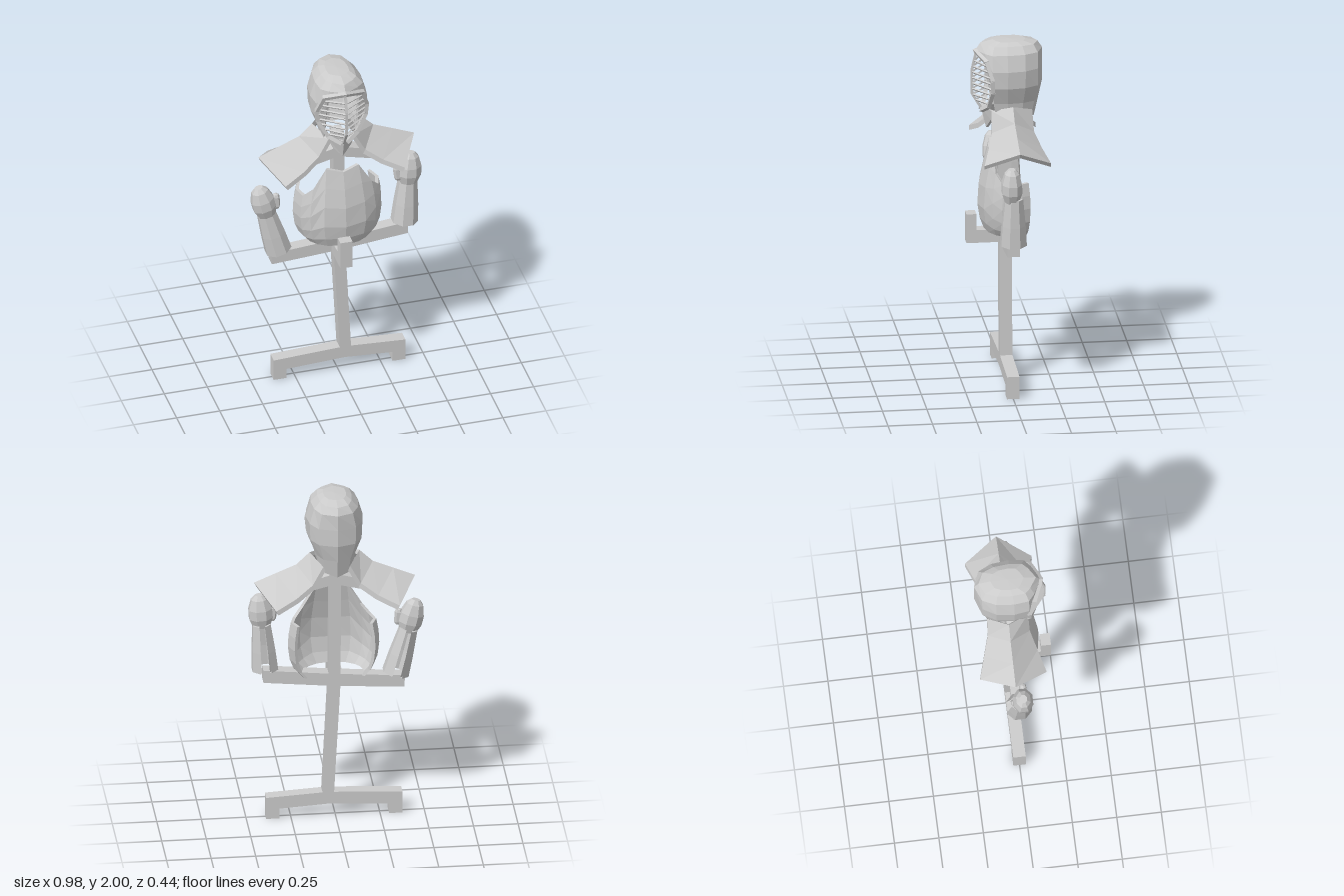
import * as THREE from 'three';

const mat = new THREE.MeshStandardMaterial({ color: 0xcccccc, flatShading: true, side: THREE.DoubleSide });

function add(parent, name, geo) {
  const m = new THREE.Mesh(geo, mat);
  m.name = name;
  parent.add(m);
  return m;
}

// linear lookup in rows [key, a, b, ...] sorted by rising key
function lookup(rows, k) {
  if (k <= rows[0][0]) return rows[0].slice(1);
  for (let i = 1; i < rows.length; i++) {
    const p = rows[i - 1], q = rows[i];
    if (k <= q[0]) return p.slice(1).map((v, j) => v + (q[j + 1] - v) * (k - p[0]) / (q[0] - p[0]));
  }
  return rows[rows.length - 1].slice(1);
}

// thick sheet: outer and inner grids of nu x nv points joined along the rim
function shell(outer, inner, nu, nv) {
  const pos = [], idx = [], n = nu * nv;
  for (const f of [outer, inner])
    for (let i = 0; i < nu; i++) for (let j = 0; j < nv; j++) pos.push(...f(i, j));
  const quad = (a, b, c, d) => idx.push(a, b, c, a, c, d);
  for (let i = 0; i < nu - 1; i++) for (let j = 0; j < nv - 1; j++) {
    const a = i * nv + j;
    quad(a, a + 1, a + nv + 1, a + nv);
    quad(n + a, n + a + nv, n + a + nv + 1, n + a + 1);
  }
  const rim = (a, b) => quad(a, b, b + n, a + n);
  for (let i = 0; i < nu - 1; i++) {
    rim((i + 1) * nv, i * nv);
    rim(i * nv + nv - 1, (i + 1) * nv + nv - 1);
  }
  for (let j = 0; j < nv - 1; j++) {
    rim(j, j + 1);
    rim((nu - 1) * nv + j + 1, (nu - 1) * nv + j);
  }
  const g = new THREE.BufferGeometry();
  g.setAttribute('position', new THREE.Float32BufferAttribute(pos, 3));
  g.setIndex(idx);
  g.computeVertexNormals();
  return g;
}

// board cut from an outline in the xy plane, with thickness along z
function board(points, z0 = -0.035, z1 = 0.035) {
  const s = new THREE.Shape(points.map(p => new THREE.Vector2(...p)));
  return new THREE.ExtrudeGeometry(s, { depth: z1 - z0, bevelEnabled: false }).translate(0, 0, z0);
}

// square rod from a to b
function rod(parent, name, a, b, w) {
  const p = new THREE.Vector3(...a), q = new THREE.Vector3(...b);
  const m = add(parent, name, new THREE.BoxGeometry(w, p.distanceTo(q) + w * 0.5, w));
  m.position.copy(p).add(q).multiplyScalar(0.5);
  m.quaternion.setFromUnitVectors(new THREE.Vector3(0, 1, 0), q.sub(p).normalize());
}

function buildStand() {
  const g = new THREE.Group();
  g.name = 'stand';
  add(g, 'foot', board([[-0.375, 0], [-0.3, 0], [-0.3, 0.06], [0.04, 0.077], [0.315, 0.06], [0.315, 0],
    [0.39, 0], [0.39, 0.13], [0.04, 0.15], [-0.375, 0.13]]));
  add(g, 'post', board([[0.01, 0.12], [0.075, 0.12], [0.04, 0.83], [0.033, 1.6], [-0.03, 1.6], [-0.028, 0.83]]));
  add(g, 'lowerCrossbar', board([[-0.385, 0.78], [0.01, 0.805], [0.405, 0.845], [0.405, 0.92], [0.01, 0.88], [-0.39, 0.85]]));
  add(g, 'upperCrossbar', board([[-0.26, 1.37], [0, 1.435], [0.28, 1.365], [0.28, 1.425], [0, 1.5], [-0.26, 1.43]]));
  const hook = board([[0.03, 0.805], [0.218, 0.805], [0.218, 0.975], [0.162, 0.975], [0.162, 0.88], [0.03, 0.88]], -0.03, 0.04);
  add(g, 'frontHook', hook.rotateY(-Math.PI / 2));
  return g;
}

function buildBreastplate() {
  // height, half width, front z
  const size = [[0.89, 0.19, 0.12], [0.94, 0.235, 0.14], [1.03, 0.258, 0.155], [1.13, 0.255, 0.152],
    [1.24, 0.235, 0.13], [1.39, 0.2, 0.09]];
  // angle from the front, top edge
  const top = [[0, 1.365], [28, 1.388], [50, 1.25], [66, 1.21], [118, 1.215]];
  const angles = [-118, -92, -66, -48, -28, 0, 28, 48, 66, 92, 118];
  const steps = [0, 0.12, 0.3, 0.55, 0.78, 1];
  const at = t => (i, j) => {
    const [h] = lookup(top, Math.abs(angles[i]));
    const y = 0.89 + (h - 0.89) * steps[j], a = angles[i] * Math.PI / 180;
    const [w, f] = lookup(size, y);
    return [0.012 + (w - t) * Math.sin(a), y, -0.03 + (f + 0.03 - t) * Math.cos(a)];
  };
  return shell(at(0), at(0.018), angles.length, steps.length);
}

function buildHelmet() {
  const g = new THREE.Group();
  g.name = 'helmet';
  // dome: columns hold x, z and lower edge; rows hold height and x, z scale
  const half = [[0, 0.165, 1.93], [0.1, 0.12, 1.9], [0.148, 0.085, 1.6], [0.16, 0, 1.61],
    [0.148, -0.1, 1.6], [0.105, -0.175, 1.56], [0, -0.21, 1.54]];
  const cols = [...half, ...half.slice(0, 6).reverse().map(([x, z, b]) => [-x, z, b])];
  const scale = [[1.54, 0.6, 0.75], [1.65, 0.72, 0.88], [1.75, 0.97, 1], [1.85, 1, 1], [1.94, 0.83, 1],
    [1.98, 0.6, 0.86], [1.997, 0.4, 0.5], [2, 0, 0]];
  const rows = [2, 1.997, 1.98, 1.94, 1.85, 1.75, 1.65, 1.54];
  const outer = (i, j) => {
    const [x, z, b] = cols[i], y = Math.max(rows[j], b);
    const [sx, sz] = lookup(scale, y);
    return [0.005 + x * sx, y, -0.025 + (z + 0.025) * sz];
  };
  const inner = (i, j) => {
    const [x, y, z] = outer(i, j);
    return [x * 0.9, 1.7 + (y - 1.7) * 0.94, -0.025 + (z + 0.025) * 0.9];
  };
  add(g, 'dome', shell(outer, inner, cols.length, rows.length));

  // face grille: rim, centre bar and cross bars
  const rim = [[1.59, 0.02, 0.13], [1.63, 0.085, 0.1], [1.73, 0.138, 0.083], [1.8, 0.145, 0.085],
    [1.9, 0.112, 0.115], [1.935, 0, 0.165]];
  const centre = [[1.59, 0.13], [1.68, 0.183], [1.82, 0.185], [1.93, 0.16]];
  for (const s of [-1, 1]) {
    for (let i = 1; i < rim.length; i++) {
      const [p, q] = [rim[i - 1], rim[i]];
      rod(g, 'grilleRim', [0.005 + s * p[1], p[0], p[2]], [0.005 + s * q[1], q[0], q[2]], 0.022);
    }
    for (let k = 0; k < 8; k++) {
      const y = 1.645 + k * 0.033, [x, z] = lookup(rim, y);
      rod(g, 'grilleBar', [0.005 + s * x, y, z], [0.005, y, lookup(centre, y)[0]], 0.009);
    }
  }
  for (let i = 1; i < centre.length; i++)
    rod(g, 'grilleCentreBar', [0.005, ...centre[i - 1]], [0.005, ...centre[i]], 0.014);

  // folded throat guard below the grille
  const throat = [[[-0.075, 1.6, 0.08], [-0.05, 1.54, 0.085]], [[0.005, 1.6, 0.135], [0.005, 1.48, 0.105]],
    [[0.085, 1.6, 0.08], [0.06, 1.54, 0.085]]];
  add(g, 'throatGuard', shell((i, j) => throat[i][j],
    (i, j) => throat[i][j].map((v, k) => (k === 2 ? v - 0.015 : v)), 3, 2));
  return g;
}

// shoulder flap: stations of ridge x, ridge y, edge x, edge y, edge half depth
function buildFlap(s) {
  const st = [[0.14, 1.64, 0.075, 1.6, 0.115], [0.215, 1.568, 0.135, 1.49, 0.118],
    [0.33, 1.52, 0.23, 1.425, 0.15], [0.452, 1.468, 0.347, 1.372, 0.187]];
  const at = t => (i, j) => {
    const [rx, ry, ex, ey, d] = st[i];
    const x = (j === 1 ? rx : ex) - t * 0.5, y = (j === 1 ? ry : ey) - t;
    return [0.006 + s * x, y, -0.03 + (1 - j) * d];
  };
  return shell(at(0), at(0.025), 4, 3);
}

// mitten glove standing on its open cuff; s is the side of the body
function buildGlove(s, x, y, tilt) {
  const g = new THREE.Group();
  g.name = s > 0 ? 'leftGlove' : 'rightGlove';
  const lathe = (pts, n, start, len) =>
    new THREE.LatheGeometry(pts.map(p => new THREE.Vector2(...p)), n, start, len);
  // cuff with a slit at the back
  add(g, 'cuff', lathe([[0.06, 0], [0.078, 0], [0.07, 0.12], [0.054, 0.28], [0.04, 0.28], [0.056, 0.12], [0.06, 0]],
    7, Math.PI * 1.12, Math.PI * 1.76));
  const hand = add(g, 'hand', lathe([[0, 0.25], [0.05, 0.26], [0.071, 0.315], [0.07, 0.37], [0.05, 0.43], [0.025, 0.455], [0, 0.455]],
    8, Math.PI / 8, Math.PI * 2));
  hand.scale.z = 0.85;
  hand.position.z = 0.012;
  const thumb = add(g, 'thumb', new THREE.CapsuleGeometry(0.022, 0.06, 2, 6));
  thumb.position.set(-s * 0.07, 0.33, 0.02);
  thumb.rotation.z = s * 0.2;
  g.position.set(x, y, 0);
  g.rotation.z = tilt;
  return g;
}

export function createModel() {
  const model = new THREE.Group();
  model.name = 'armourOnStand';
  model.add(buildStand());
  add(model, 'breastplate', buildBreastplate());
  model.add(buildHelmet());
  add(model, 'leftShoulderFlap', buildFlap(1));
  add(model, 'rightShoulderFlap', buildFlap(-1));
  model.add(buildGlove(1, 0.393, 0.917, -0.07));
  model.add(buildGlove(-1, -0.34, 0.855, 0.26));
  return model;
}
